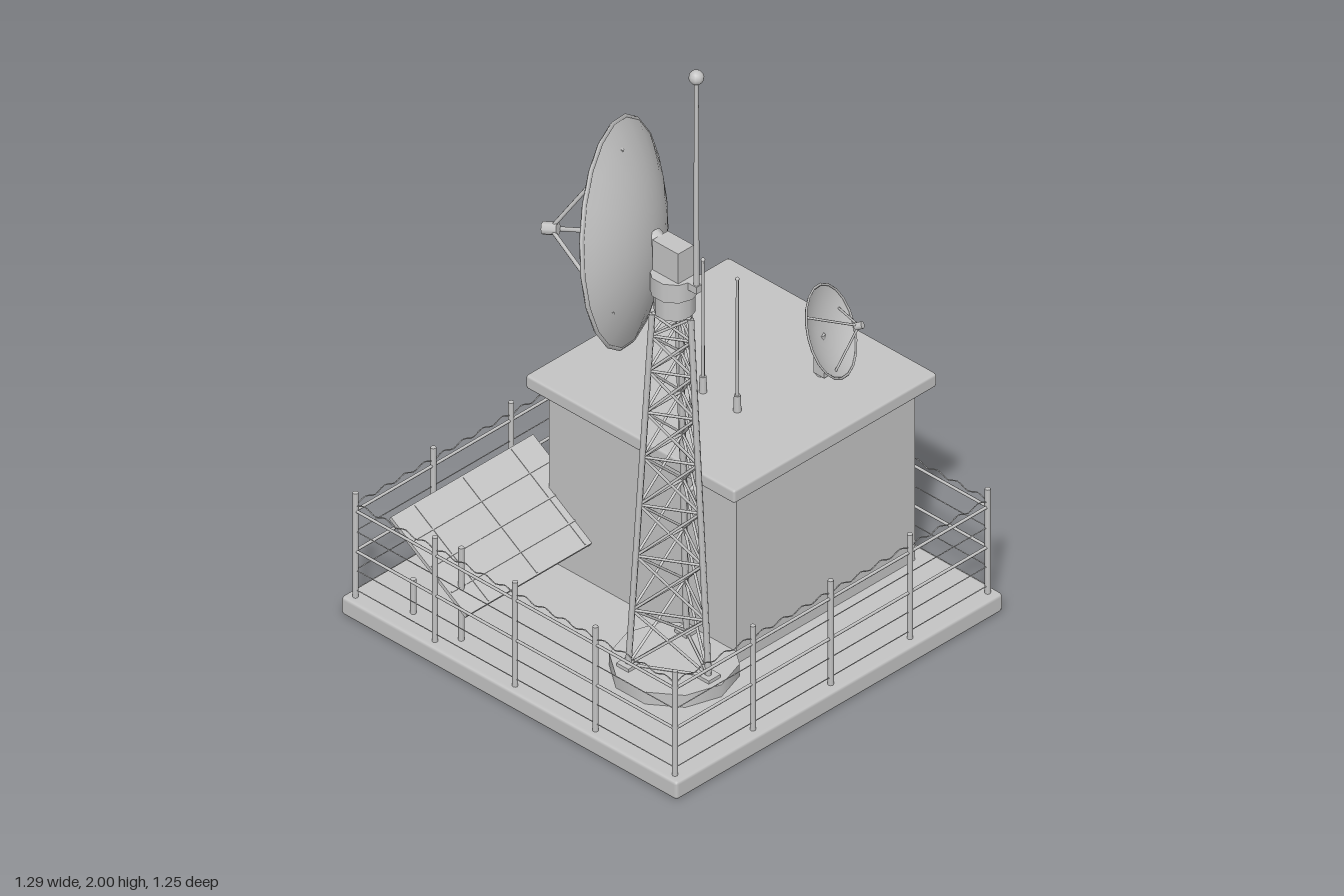
import * as THREE from 'three';
import { RoundedBoxGeometry } from 'three/addons/geometries/RoundedBoxGeometry.js';

const V = (x, y, z) => new THREE.Vector3(x, y, z);
const UP = V(0, 1, 0);

export function createModel() {
  const grey = new THREE.MeshStandardMaterial({ color: 0xc4c4c4, side: THREE.DoubleSide });
  grey.name = 'plain grey';
  const root = new THREE.Group();
  root.name = 'radioStation';

  const group = (name, parent = root) => {
    const g = new THREE.Group();
    g.name = name;
    parent.add(g);
    return g;
  };
  const add = (name, geo, parent = root) => {
    const m = new THREE.Mesh(geo, grey);
    m.name = name;
    parent.add(m);
    return m;
  };
  // Box given by its minimum and maximum on each axis
  const box = (name, [x0, x1], [y0, y1], [z0, z1], parent, bevel = 0) => {
    const s = [x1 - x0, y1 - y0, z1 - z0];
    const geo = bevel ? new RoundedBoxGeometry(...s, 1, bevel) : new THREE.BoxGeometry(...s);
    const m = add(name, geo, parent);
    m.position.set((x0 + x1) / 2, (y0 + y1) / 2, (z0 + z1) / 2);
    return m;
  };
  // Cylinder between two points
  const rod = (name, a, b, r, parent, r2 = r, sides = 6) => {
    const d = b.clone().sub(a);
    const m = add(name, new THREE.CylinderGeometry(r2, r, d.length(), sides), parent);
    m.position.copy(a).add(b).multiplyScalar(0.5);
    m.quaternion.setFromUnitVectors(UP, d.normalize());
    return m;
  };

  // Platform
  box('platform', [-0.645, 0.573], [0, 0.057], [-0.605, 0.62], root, 0.01);

  // Equipment hut
  const hut = group('hut');
  box('walls', [-0.145, 0.52], [0.055, 0.605], [-0.33, 0.35], hut);
  box('roof', [-0.189, 0.568], [0.6, 0.642], [-0.378, 0.384], hut, 0.008);
  box('door', [0.19, 0.405], [0.06, 0.465], [-0.338, -0.33], hut);
  box('doorHandle', [0.235, 0.25], [0.245, 0.26], [-0.35, -0.338], hut);
  box('doorLamp', [0.255, 0.347], [0.502, 0.52], [-0.343, -0.33], hut);
  box('backWindow', [-0.053, 0.088], [0.455, 0.57], [-0.337, -0.33], hut);
  box('cornerStripRight', [-0.145, -0.09], [0.06, 0.6], [-0.335, -0.33], hut);
  box('cornerStripLeft', [0.475, 0.52], [0.06, 0.6], [-0.335, -0.33], hut);
  for (const z of [0.135, 0.013, -0.108])
    box('sideVent', [0.52, 0.529], [0.357, 0.418], [z - 0.045, z + 0.045], hut);

  // Air conditioner with round fan guard
  const cooler = group('airConditioner');
  box('coolerBody', [0.52, 0.634], [0.118, 0.292], [-0.15, 0.088], cooler, 0.006);
  const guard = add('fanGuard', new THREE.TorusGeometry(0.064, 0.005, 4, 16), cooler);
  guard.rotation.y = Math.PI / 2;
  guard.position.set(0.636, 0.21, -0.031);
  box('fanBar', [0.634, 0.643], [0.206, 0.214], [-0.092, 0.03], cooler);

  // Whip antennas on the roof
  for (const [x, z] of [[0.08, 0.007], [-0.03, 0.07], [0.08, 0.132]]) {
    const whip = group('whipAntenna');
    rod('whipBase', V(x, 0.64, z), V(x, 0.692, z), 0.011, whip, 0.009, 8);
    rod('whipRod', V(x, 0.69, z), V(x, 1.06, z), 0.005, whip, 0.004);
    add('whipTip', new THREE.SphereGeometry(0.006, 8, 6), whip).position.set(x, 1.06, z);
  }

  // Dish: bowl with its rim centre at the group origin, opening along local +y
  const dish = (name, centre, normal, R, depth, feedAt, thick, phase) => {
    const g = group(name);
    g.position.copy(centre);
    g.quaternion.setFromUnitVectors(UP, normal.clone().normalize());
    const bowl = (offset) => Array.from({ length: 9 }, (_, i) =>
      new THREE.Vector2(R * i / 8, depth * ((i / 8) ** 2 - 1) + offset * (1 - i / 8)));
    add('bowlInside', new THREE.LatheGeometry(bowl(0.006), 20), g);
    add('bowlOutside', new THREE.LatheGeometry(bowl(0), 20), g);
    const rim = add('rim', new THREE.TorusGeometry(R - thick, thick, 4, 20), g);
    rim.rotation.x = Math.PI / 2;
    for (let k = 0; k < 3; k++) {
      const a = phase + k * Math.PI * 2 / 3, r = R * 0.8;
      rod('feedStrut', V(Math.cos(a) * r, depth * (0.64 - 1), Math.sin(a) * r), V(0, feedAt, 0), thick * 0.9, g);
    }
    rod('feedHorn', V(0, feedAt - thick * 3, 0), V(0, feedAt + thick * 3, 0), thick * 2.6, g, thick * 2.6, 8);
  };
  dish('largeDish', V(-0.322, 1.395, 0.107), V(-0.43, -0.155, -0.89), 0.311, 0.09, 0.2, 0.007, Math.PI);
  dish('smallDish', V(0.36, 0.788, 0.2), V(0.38, 0.42, 0.82), 0.13, 0.036, 0.085, 0.0038, Math.PI / 2);
  rod('smallDishPost', V(0.35, 0.64, 0.172), V(0.35, 0.77, 0.172), 0.012, root, 0.012, 8);
  box('smallDishBracket', [0.336, 0.364], [0.65, 0.72], [0.16, 0.198]);

  // Three-legged lattice tower
  const tower = group('tower');
  const TX = -0.28, TZ = 0.255, y0 = 0.09, y1 = 1.2;
  const pad = add('towerPad', new THREE.CylinderGeometry(0.172, 0.172, 0.04, 10), tower);
  pad.position.set(TX, 0.075, TZ);
  const corner = (k, y) => {
    const r = THREE.MathUtils.lerp(0.125, 0.06, (y - y0) / (y1 - y0)), a = k * Math.PI * 2 / 3;
    return V(TX + r * Math.sin(a), y, TZ + r * Math.cos(a));
  };
  const levels = [0.1, 0.27, 0.44, 0.6, 0.75, 0.89, 1.02, 1.13, 1.2];
  for (let k = 0; k < 3; k++) {
    rod('towerLeg', corner(k, y0), corner(k, y1), 0.009, tower);
    const foot = corner(k, y0);
    box('legFoot', [foot.x - 0.022, foot.x + 0.022], [0.09, 0.105], [foot.z - 0.022, foot.z + 0.022], tower);
    levels.forEach((y, i) => {
      rod('towerRing', corner(k, y), corner(k + 1, y), 0.004, tower);
      if (!i) return;
      rod('towerBrace', corner(k, levels[i - 1]), corner(k + 1, y), 0.004, tower);
      rod('towerBrace', corner(k + 1, levels[i - 1]), corner(k, y), 0.004, tower);
    });
  }
  // Tower head, dish mount and mast
  rod('headDrum', V(TX, 1.2, TZ), V(TX, 1.28, TZ), 0.055, tower, 0.055, 10);
  rod('headCollar', V(TX, 1.265, TZ), V(TX, 1.322, TZ), 0.066, tower, 0.066, 10);
  box('dishMount', [-0.314, -0.256], [1.32, 1.416], [0.208, 0.302], tower);
  rod('dishArm', V(-0.285, 1.38, 0.23), V(-0.285, 1.405, 0.18), 0.025, tower, 0.025, 8);
  box('mastBracket', [-0.293, -0.273], [1.3, 1.322], [0.3, 0.348], tower);
  rod('mast', V(-0.283, 1.31, 0.338), V(-0.283, 1.97, 0.338), 0.008, tower, 0.006, 8);
  add('mastBall', new THREE.SphereGeometry(0.021, 10, 8), tower).position.set(-0.283, 1.979, 0.338);
  // Cable from the tower head to the hut
  const path = [[-0.235, 1.2, 0.22], [-0.215, 0.9, 0.21], [-0.19, 0.62, 0.2], [-0.172, 0.54, 0.2], [-0.14, 0.56, 0.2]];
  add('feedCable', new THREE.TubeGeometry(new THREE.CatmullRomCurve3(path.map((p) => V(...p))), 32, 0.007, 6), tower);

  // Perimeter fence, with a gap for the gate at the back
  const fence = group('fence');
  const L = -0.62, R = 0.545, B = -0.575, F = 0.59;
  const post = (x, z, r = 0.008) => rod('fencePost', V(x, 0.05, z), V(x, 0.387, z), r, fence, r, 8);
  for (const x of [L, -0.33, -0.04, 0.255, R]) post(x, F);
  for (const x of [L, -0.33, -0.04, R]) post(x, B);
  for (const z of [-0.285, 0.007, 0.3]) { post(L, z); post(R, z); }
  post(0.145, B, 0.01);
  post(0.43, B, 0.01);
  const run = (a, b) => {
    const at = (p, y) => V(p[0], y, p[1]);
    for (const y of [0.33, 0.203]) rod('fenceRail', at(a, y), at(b, y), 0.0045, fence);
    for (const y of [0.265, 0.142, 0.08]) rod('fenceWire', at(a, y), at(b, y), 0.002, fence, 0.002, 4);
    const n = Math.max(2, Math.round(at(a, 0).distanceTo(at(b, 0)) / 0.036));
    const pts = Array.from({ length: n + 1 }, (_, i) => at(a, 0.351 + (i % 2 ? 0.006 : -0.006)).lerp(at(b, 0.351 + (i % 2 ? 0.006 : -0.006)), i / n));
    add('topWire', new THREE.TubeGeometry(new THREE.CatmullRomCurve3(pts), n * 3, 0.002, 4), fence);
  };
  run([L, F], [R, F]);
  run([L, B], [L, F]);
  run([R, B], [R, F]);
  run([L, B], [0.145, B]);
  run([0.43, B], [R, B]);
  const gate = add('gate', new THREE.BoxGeometry(0.256, 0.256, 0.008), fence);
  gate.position.set(0.29, 0.208, -0.571);
  gate.rotation.y = 0.439;

  // Solar panel sloping down to the front, on four posts
  const solar = group('solarPanel');
  solar.position.set(-0.345, 0.268, -0.32);
  solar.rotation.x = 0.571;
  box('panel', [-0.265, 0.265], [-0.006, 0.006], [-0.165, 0.165], solar);
  for (const z of [-0.08, 0.005, 0.09]) box('panelDivider', [-0.26, 0.26], [0.006, 0.009], [z - 0.002, z + 0.002], solar);
  for (const x of [-0.18, 0, 0.18]) box('panelDivider', [x - 0.002, x + 0.002], [0.006, 0.008], [-0.16, 0.16], solar);
  for (const x of [-0.568, -0.122]) {
    rod('panelPostFront', V(x, 0.055, -0.24), V(x, 0.35, -0.24), 0.008, root, 0.008, 8);
    rod('panelPostBack', V(x, 0.055, -0.415), V(x, 0.165, -0.415), 0.008, root, 0.008, 8);
  }
  return root;
}
